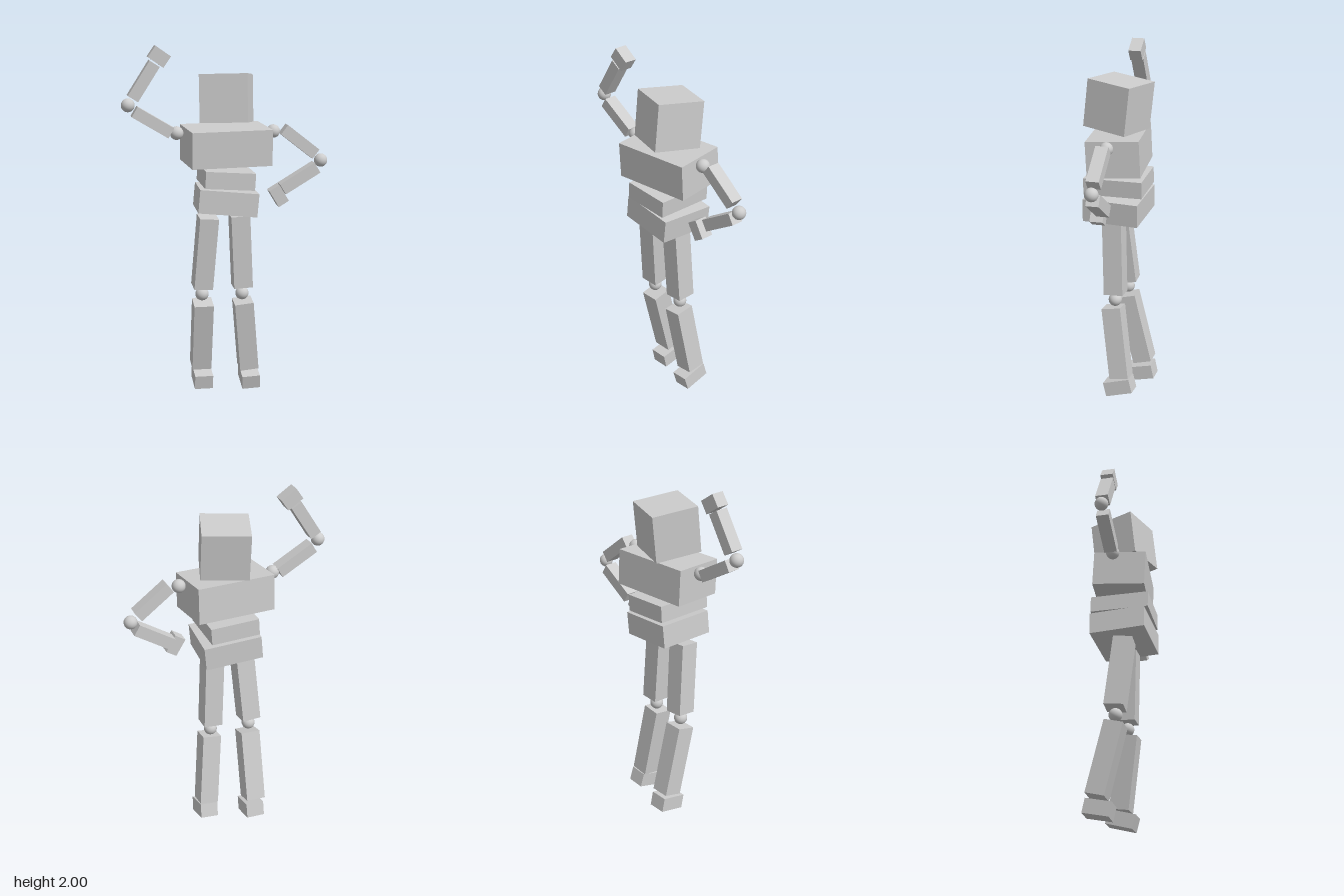
import * as THREE from 'three';

export function createModel() {
  const root = new THREE.Group();
  root.name = 'posedFigure';
  const grey = new THREE.MeshStandardMaterial({ color: 0xcccccc });
  grey.name = 'plain grey';
  const rad = THREE.MathUtils.degToRad;

  // Block with size, centre and rotation in degrees
  const block = (name, size, pos, rot) => {
    const mesh = new THREE.Mesh(new THREE.BoxGeometry(...size), grey);
    mesh.name = name;
    mesh.position.set(...pos);
    mesh.rotation.set(...rot.map(rad));
    root.add(mesh);
  };

  // Head and trunk
  block('head', [0.267, 0.267, 0.267], [0, 1.707, 0.003], [-6, -17, 0]);
  block('chest', [0.458, 0.203, 0.295], [-0.004, 1.446, 0.001], [3, 6, 0]);
  block('waist', [0.279, 0.095, 0.333], [-0.005, 1.267, 0.005], [0, 0, -3.8]);
  block('hips', [0.33, 0.131, 0.317], [-0.006, 1.136, 0.005], [-1.5, -2.7, -5.4]);

  // Raised right arm
  block('rightUpperArm', [0.235, 0.065, 0.072], [-0.415, 1.582, 0], [0, 0, -31]);
  block('rightForearm', [0.066, 0.226, 0.072], [-0.463, 1.809, 0], [0, 0, -32.6]);
  block('rightHand', [0.103, 0.075, 0.072], [-0.376, 1.942, 0], [0, 0, -35]);

  // Left arm bent towards the hip
  block('leftUpperArm', [0.232, 0.065, 0.072], [0.416, 1.457, 0], [0, 0, -38]);
  block('leftForearm', [0.232, 0.067, 0.072], [0.418, 1.248, 0], [0, 0, 31]);
  block('leftHand', [0.067, 0.107, 0.074], [0.289, 1.158, 0.036], [0, 0, 31]);

  // Right leg, swung back
  block('rightThigh', [0.108, 0.42, 0.11], [-0.125, 0.836, 0.005], [6.4, 2, -3.9]);
  block('rightShin', [0.112, 0.42, 0.11], [-0.135, 0.331, -0.066], [14, 0, 0]);
  block('rightFoot', [0.106, 0.083, 0.15], [-0.127, 0.058, -0.106], [12, 0, 0]);

  // Left leg
  block('leftThigh', [0.108, 0.42, 0.11], [0.081, 0.837, 0.005], [2, 0, 2.7]);
  block('leftShin', [0.108, 0.42, 0.11], [0.114, 0.335, -0.018], [8, 0, 5.7]);
  block('leftFoot', [0.103, 0.082, 0.157], [0.14, 0.073, -0.04], [15, 0, 3]);

  // Ball joints
  const ball = new THREE.SphereGeometry(0.038, 32, 20);
  const joints = {
    rightShoulder: [-0.281, 1.518, 0],
    leftShoulder: [0.266, 1.518, 0],
    rightElbow: [-0.55, 1.677, 0],
    leftElbow: [0.543, 1.346, 0],
    rightKnee: [-0.14, 0.585, -0.015],
    leftKnee: [0.09, 0.585, 0],
  };
  for (const [name, pos] of Object.entries(joints)) {
    const mesh = new THREE.Mesh(ball, grey);
    mesh.name = name;
    mesh.position.set(...pos);
    root.add(mesh);
  }
  return root;
}
